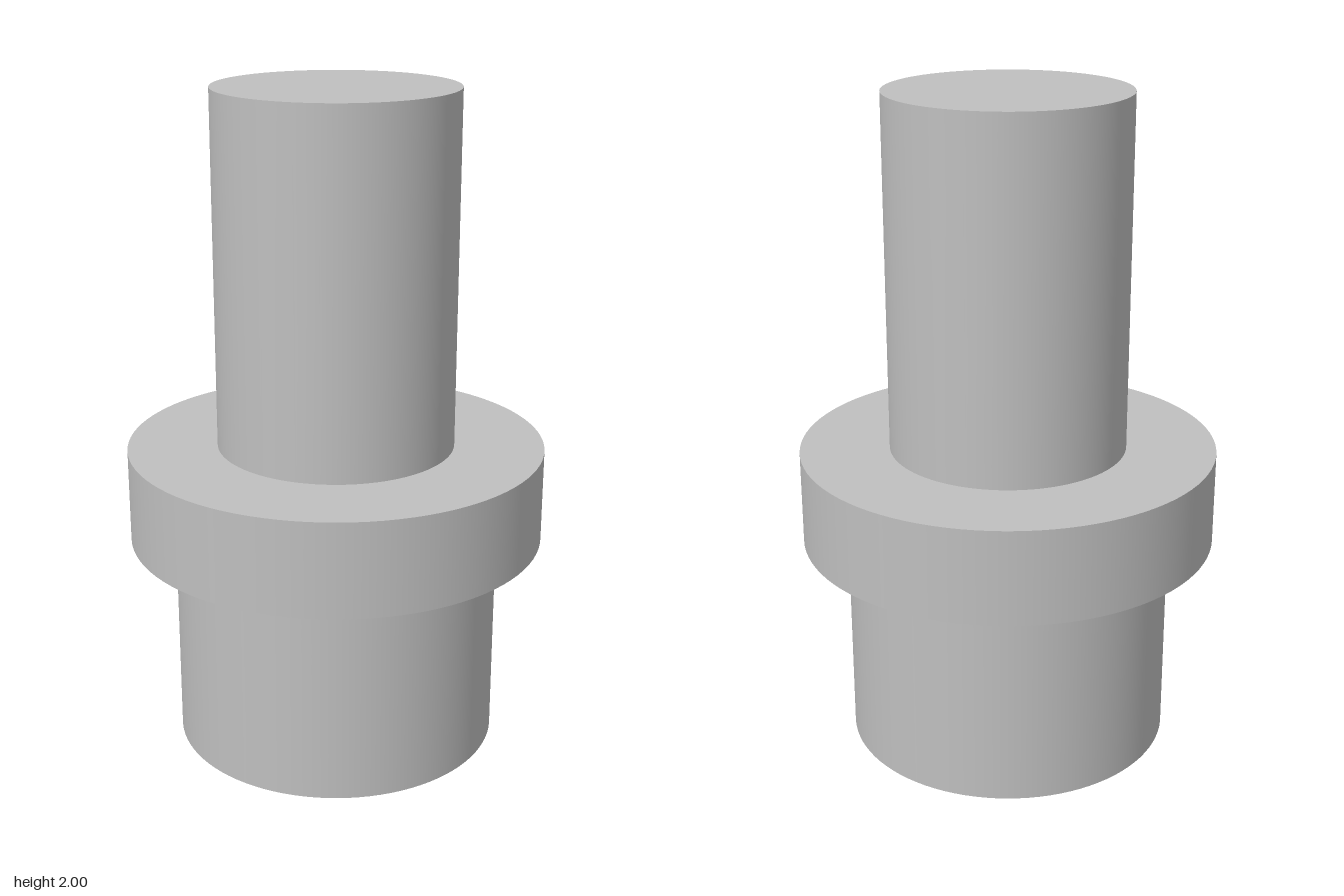
import * as THREE from 'three';

export function createModel() {
  const model = new THREE.Group();
  model.name = 'flangedPin';

  const metal = new THREE.MeshStandardMaterial({ color: 0xbfbfbf });
  metal.name = 'light grey metal';

  // Upright solid cylinder between two heights
  function addCylinder(name, radius, bottom, top) {
    const height = top - bottom;
    const mesh = new THREE.Mesh(new THREE.CylinderGeometry(radius, radius, height, 96), metal);
    mesh.name = name;
    mesh.position.y = bottom + height / 2;
    model.add(mesh);
  }

  addCylinder('base', 0.493, 0, 0.65);
  addCylinder('collar', 0.628, 0.65, 0.936);
  addCylinder('shaft', 0.358, 0.936, 2);

  return model;
}
